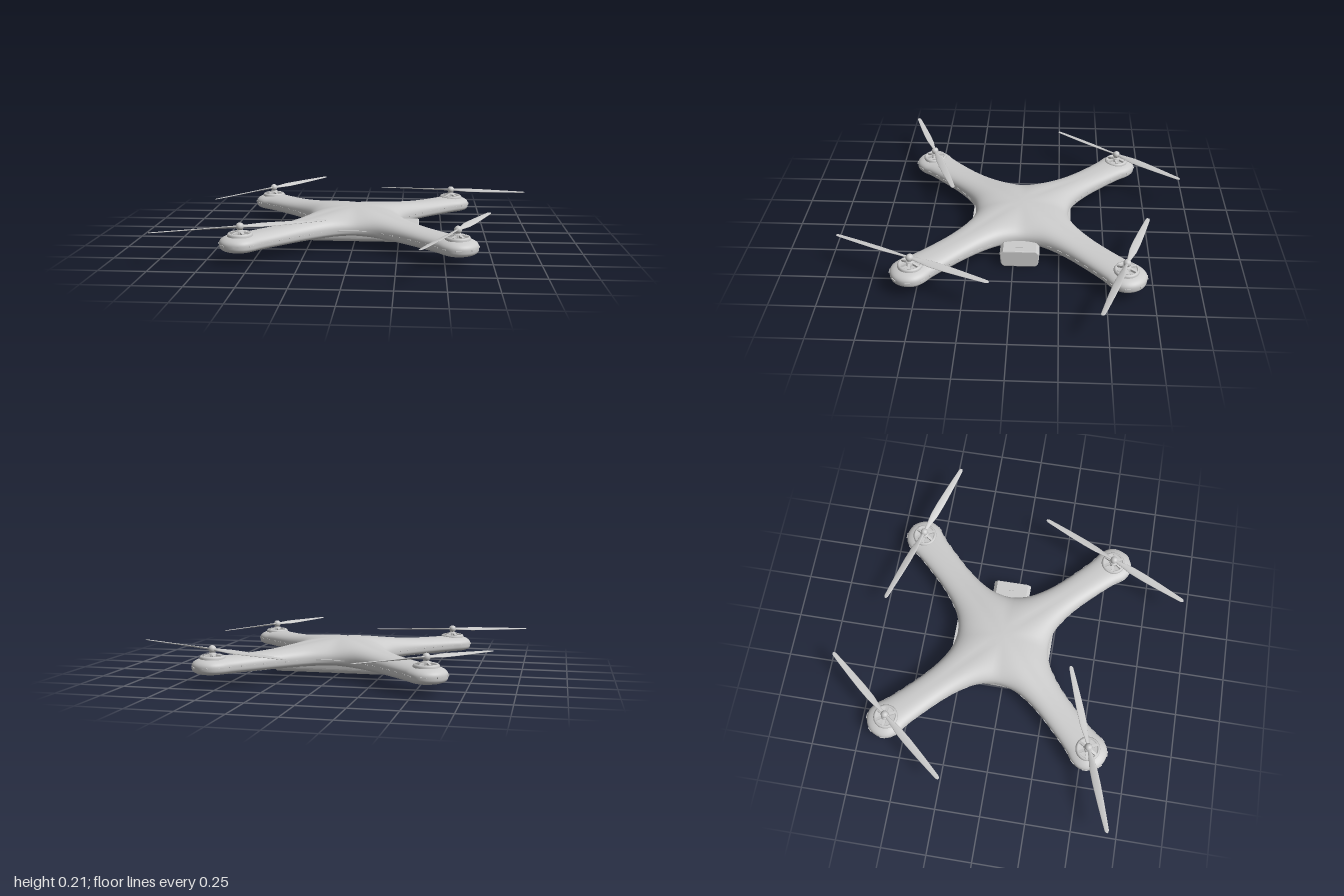
import * as THREE from 'three';
import { mergeVertices } from 'three/addons/utils/BufferGeometryUtils.js';

const grey = new THREE.MeshStandardMaterial({ color: 0xcccccc });
const ZC = -0.036; // body centre on z
const MOTOR = 0.563; // motor offset from the body centre on x and z

function add(parent, geometry, name, x = 0, y = 0, z = 0) {
  const m = new THREE.Mesh(geometry, grey);
  m.name = name;
  m.position.set(x, y, z);
  parent.add(m);
  return m;
}

// Closed skin over rings: point(i, j) gives a Vector3, i runs round, j runs along.
function skin(nI, nJ, point) {
  const pos = [], idx = [];
  for (let j = 0; j <= nJ; j++) for (let i = 0; i < nI; i++) pos.push(...point(i, j).toArray());
  for (let j = 0; j < nJ; j++) {
    for (let i = 0; i < nI; i++) {
      const a = j * nI + i, b = j * nI + (i + 1) % nI;
      idx.push(a, a + nI, b + nI, a, b + nI, b);
    }
  }
  let g = new THREE.BufferGeometry();
  g.setAttribute('position', new THREE.Float32BufferAttribute(pos, 3));
  g.setIndex(idx);
  g = mergeVertices(g, 1e-4);
  g.computeVertexNormals();
  return g;
}

// Plan outline: x, z and the matching place on the arm's diagonal spine, for one eighth.
const EIGHTH = [
  [0, 0.264, 0], [0.09, 0.28, 0.09], [0.17, 0.321, 0.19], [0.26, 0.39, 0.295],
  [0.36, 0.487, 0.41], [0.45, 0.585, 0.515], [0.483, 0.632, 0.555], [0.523, 0.664, MOTOR],
  [0.565, 0.673, MOTOR], [0.606, 0.664, MOTOR], [0.641, 0.641, MOTOR],
];
const QUARTER = [...EIGHTH, ...EIGHTH.slice(1, -1).reverse().map(([x, z, s]) => [z, x, s])];
const turn = (x, z, q) => [[x, z], [z, -x], [-x, -z], [-z, x]][q];
const outline = new THREE.CatmullRomCurve3([0, 1, 2, 3].flatMap((q) => QUARTER.map(([x, z, s]) => {
  const [a, b] = turn(x, z, q);
  return new THREE.Vector3(a, s, b); // y carries the spine place
})), true);

// Smooth four-armed shell: domed above, flatter below
function bodyGeometry() {
  const N = 240, M = 28;
  const ring = Array.from({ length: N }, (_, i) => outline.getPoint(i / N));
  return skin(N, M, (i, j) => {
    const p = ring[i], s = THREE.MathUtils.clamp(p.y, 0, MOTOR);
    const [sx, sz] = turn(s, s, Math.floor(i / (N / 4)));
    const a = Math.PI * j / M, c = Math.cos(a), top = c > 0;
    const e = top ? 0.85 : 0.6;
    const t = Math.pow(Math.max(0, Math.sin(a)), e);
    const h = top ? 0.045 + 0.05 * Math.exp(-((s / 0.26) ** 2)) : -0.042;
    const y = 0.105 + h * Math.pow(Math.abs(c), e);
    return new THREE.Vector3(sx + (p.x - sx) * t, y, sz + (p.z - sz) * t);
  });
}

// Twisted, tapering blade along +x
function bladeGeometry() {
  // radius, chord, pitch, thickness
  const st = [[0.008, 0, 0.4, 0], [0.008, 0.016, 0.4, 0.012], [0.05, 0.024, 0.38, 0.01], [0.12, 0.042, 0.32, 0.008],
    [0.2, 0.044, 0.25, 0.007], [0.3, 0.038, 0.19, 0.006], [0.4, 0.029, 0.14, 0.005],
    [0.455, 0.023, 0.12, 0.004], [0.465, 0.013, 0.12, 0.003], [0.468, 0, 0.12, 0]];
  return skin(14, st.length - 1, (i, j) => {
    const [r, chord, pitch, thick] = st[j], a = i / 14 * Math.PI * 2;
    const u = Math.cos(a) * chord / 2, v = Math.sin(a) * thick / 2;
    return new THREE.Vector3(r, -u * Math.sin(pitch) + v * Math.cos(pitch), u * Math.cos(pitch) + v * Math.sin(pitch));
  });
}

// Battery: rounded section run along x with a raked, narrower end
function batteryGeometry() {
  const w = 0.108, h = 0.101, r = 0.034, k = 0.018;
  const s = new THREE.Shape();
  s.moveTo(-w + r, 0);
  s.lineTo(w - r, 0);
  s.quadraticCurveTo(w - 0.006, 0, w - 0.004, r);
  s.lineTo(w, h - k);
  s.lineTo(w - k, h);
  s.lineTo(-w + k, h);
  s.lineTo(-w, h - k);
  s.lineTo(-w + 0.004, r);
  s.quadraticCurveTo(-w + 0.006, 0, -w + r, 0);
  const g = new THREE.ExtrudeGeometry(s, {
    depth: 0.626, bevelThickness: 0.006, bevelSize: 0.006, bevelOffset: -0.006, bevelSegments: 2, curveSegments: 8,
  });
  g.rotateY(Math.PI / 2);
  g.translate(-0.266, 0.004, 0);
  const p = g.attributes.position;
  for (let i = 0; i < p.count; i++) {
    if (p.getX(i) > 0) continue;
    p.setX(i, p.getX(i) + 0.45 * Math.abs(p.getY(i) - 0.065));
    p.setZ(i, p.getZ(i) * 0.92);
  }
  g.computeVertexNormals();
  return g;
}

// Motor with an open spoked top and a shaft
function makeMotor() {
  const motor = new THREE.Group();
  motor.name = 'motor';
  const v = (a) => a.map(([x, y]) => new THREE.Vector2(x, y));
  add(motor, new THREE.LatheGeometry(v([[0.068, 0.13], [0.068, 0.15], [0.064, 0.157], [0.058, 0.16],
    [0.054, 0.158], [0.052, 0.152], [0, 0.152]]), 40), 'motorRim');
  add(motor, new THREE.LatheGeometry(v([[0.024, 0.15], [0.024, 0.168], [0.018, 0.173], [0.012, 0.174],
    [0.012, 0.19], [0, 0.19]]), 24), 'motorHub');
  for (let i = 0; i < 6; i++) {
    const a = i * Math.PI / 3;
    const spoke = add(motor, new THREE.BoxGeometry(0.036, 0.012, 0.014), 'motorSpoke',
      Math.cos(a) * 0.038, 0.159, -Math.sin(a) * 0.038);
    spoke.rotation.set(0, a, -0.2);
  }
  return motor;
}

export function createModel() {
  const model = new THREE.Group();
  model.name = 'quadcopter';
  const body = new THREE.Group();
  body.name = 'body';
  body.position.z = ZC;
  model.add(body);
  add(body, bodyGeometry(), 'shell');
  add(body, batteryGeometry(), 'battery');
  add(body, new THREE.BoxGeometry(0.02, 0.006, 0.045), 'batteryButton', 0.322, 0.105, 0);

  // Motors and propellers: sides, blade direction in plan, tilt
  const blade = bladeGeometry();
  const rotors = [
    [-1, -1, 0.295, -0.35, 0.025], [1, -1, 0.43, 0.14, 0.034],
    [-1, 1, -0.43, 0.155, -0.012], [1, 1, 0.19, -0.415, 0.005],
  ];
  for (const [sx, sz, dx, dz, tilt] of rotors) {
    const motor = makeMotor();
    motor.position.set(sx * MOTOR, 0, sz * MOTOR);
    body.add(motor);
    const prop = new THREE.Group();
    prop.name = 'propeller';
    prop.position.y = 0.193;
    prop.rotation.set(0, Math.atan2(-dz, dx), tilt);
    motor.add(prop);
    add(prop, blade, 'blade');
    add(prop, blade, 'blade').rotation.y = Math.PI;
    add(prop, new THREE.SphereGeometry(0.021, 20, 14), 'propellerNut');

    // Underside fittings
    const foot = add(body, new THREE.BoxGeometry(0.13, 0.014, 0.026), 'footStrip', sx * 0.385, 0.064, sz * 0.385);
    foot.rotation.y = -sx * sz * Math.PI / 4;
    add(body, new THREE.CylinderGeometry(0.04, 0.036, 0.012, 28), 'footPad', sx * 0.205, 0.063, sz * 0.205);
  }

  // Vent slots along the edge of each arm
  for (let q = 0; q < 4; q++) {
    for (let k = 3; k <= 21; k++) {
      const u = (q + k / 24) / 4, p = outline.getPointAt(u), d = outline.getTangentAt(u);
      const slot = add(body, new THREE.BoxGeometry(0.03, 0.006, 0.006), 'ventSlot', p.x, 0.105, p.z);
      slot.rotation.y = Math.atan2(-d.z, d.x);
    }
  }
  // Long slots at the front and back waist
  for (const s of [-1, 1]) add(body, new THREE.BoxGeometry(0.16, 0.005, 0.018), 'waistSlot', 0, 0.108, s * 0.269);
  return model;
}
